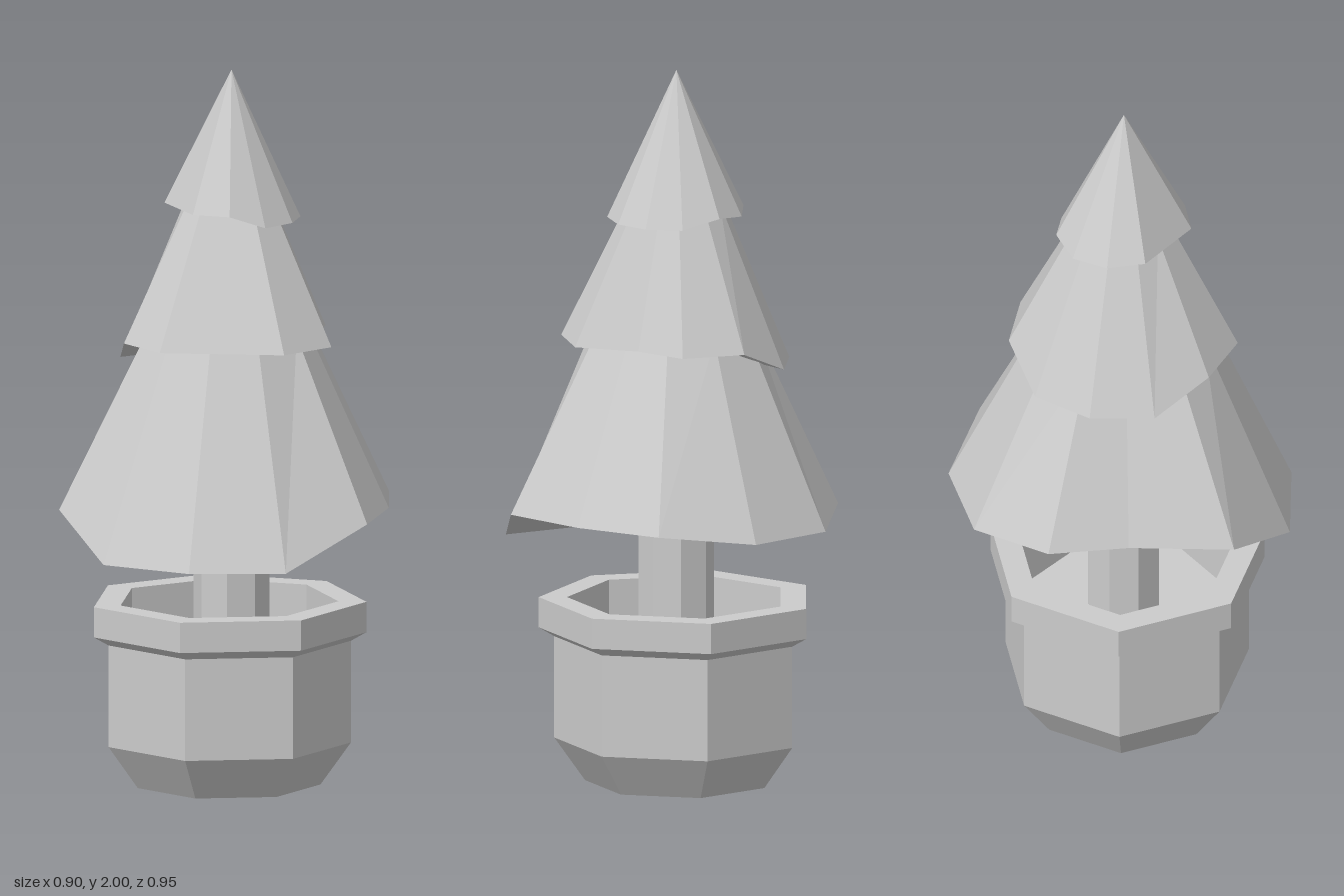
import * as THREE from 'three';

const AXIS = 0.013; // the tree stands slightly off the pot's centre

// Closed foliage tier: jagged rim corners [x, y, z] narrowing to a scaled copy at topY
function tier(name, rim, topY, scale, material) {
  const positions = [];
  const tri = (...corners) => corners.forEach((c) => positions.push(...c));
  const meanY = rim.reduce((sum, p) => sum + p[1], 0) / rim.length;
  const base = [AXIS, meanY, 0];
  const apex = [AXIS, topY, 0];
  const top = rim.map(([x, , z]) => [AXIS + (x - AXIS) * scale, topY, z * scale]);
  rim.forEach((a, i) => {
    const j = (i + 1) % rim.length;
    const b = rim[j];
    tri(b, a, top[i]);
    if (scale > 0) {
      tri(b, top[i], top[j]);
      tri(apex, top[j], top[i]);
    }
    tri(base, a, b);
  });
  const geometry = new THREE.BufferGeometry();
  geometry.setAttribute('position', new THREE.Float32BufferAttribute(positions, 3));
  geometry.computeVertexNormals();
  const mesh = new THREE.Mesh(geometry, material);
  mesh.name = name;
  return mesh;
}

export function createModel() {
  const group = new THREE.Group();
  group.name = 'pottedTree';
  const material = new THREE.MeshStandardMaterial({ color: 0xcccccc, flatShading: true });

  // Seven-sided pot with tapered foot, thick rim and recessed soil
  const profile = [
    [0, 0], [0.26, 0], [0.345, 0.12], [0.345, 0.405], [0.388, 0.43],
    [0.388, 0.515], [0.31, 0.515], [0.31, 0.31], [0, 0.31],
  ].map(([r, y]) => new THREE.Vector2(r, y));
  const pot = new THREE.Mesh(new THREE.LatheGeometry(profile, 7, Math.PI / 2), material);
  pot.name = 'pot';
  group.add(pot);

  // Octagonal trunk
  const trunk = new THREE.Mesh(new THREE.CylinderGeometry(0.105, 0.105, 0.5, 8), material);
  trunk.position.set(AXIS, 0.55, 0);
  trunk.name = 'trunk';
  group.add(trunk);

  // Foliage, three uneven eleven-sided tiers
  group.add(tier('lowerFoliage', [
    [0.45, 0.78, 0], [0.42, 0.78, 0.26], [0.215, 0.67, 0.44], [-0.05, 0.67, 0.475],
    [-0.3, 0.67, 0.365], [-0.45, 0.78, 0.135], [-0.33, 0.78, -0.13], [-0.27, 0.78, -0.345],
    [-0.05, 0.75, -0.475], [0.215, 0.75, -0.44], [0.42, 0.78, -0.26],
  ], 1.28, 0.48, material));

  group.add(tier('middleFoliage', [
    [0.305, 1.25, 0.125], [0.19, 1.25, 0.265], [0.01, 1.25, 0.268], [-0.155, 1.25, 0.27],
    [-0.27, 1.25, 0.135], [-0.3, 1.18, -0.04], [-0.23, 1.18, -0.205], [-0.08, 1.18, -0.305],
    [0.1, 1.25, -0.308], [0.25, 1.25, -0.21], [0.245, 1.25, -0.05],
  ], 1.64, 0.4, material));

  group.add(tier('topFoliage', [
    [0.19, 1.585, 0.065], [0.125, 1.585, 0.155], [0.03, 1.62, 0.19], [-0.075, 1.62, 0.165],
    [-0.125, 1.62, 0.075], [-0.175, 1.62, -0.015], [-0.14, 1.61, -0.115], [-0.05, 1.6, -0.18],
    [0.055, 1.61, -0.185], [0.15, 1.585, -0.13], [0.2, 1.585, -0.04],
  ], 2, 0, material));

  return group;
}
